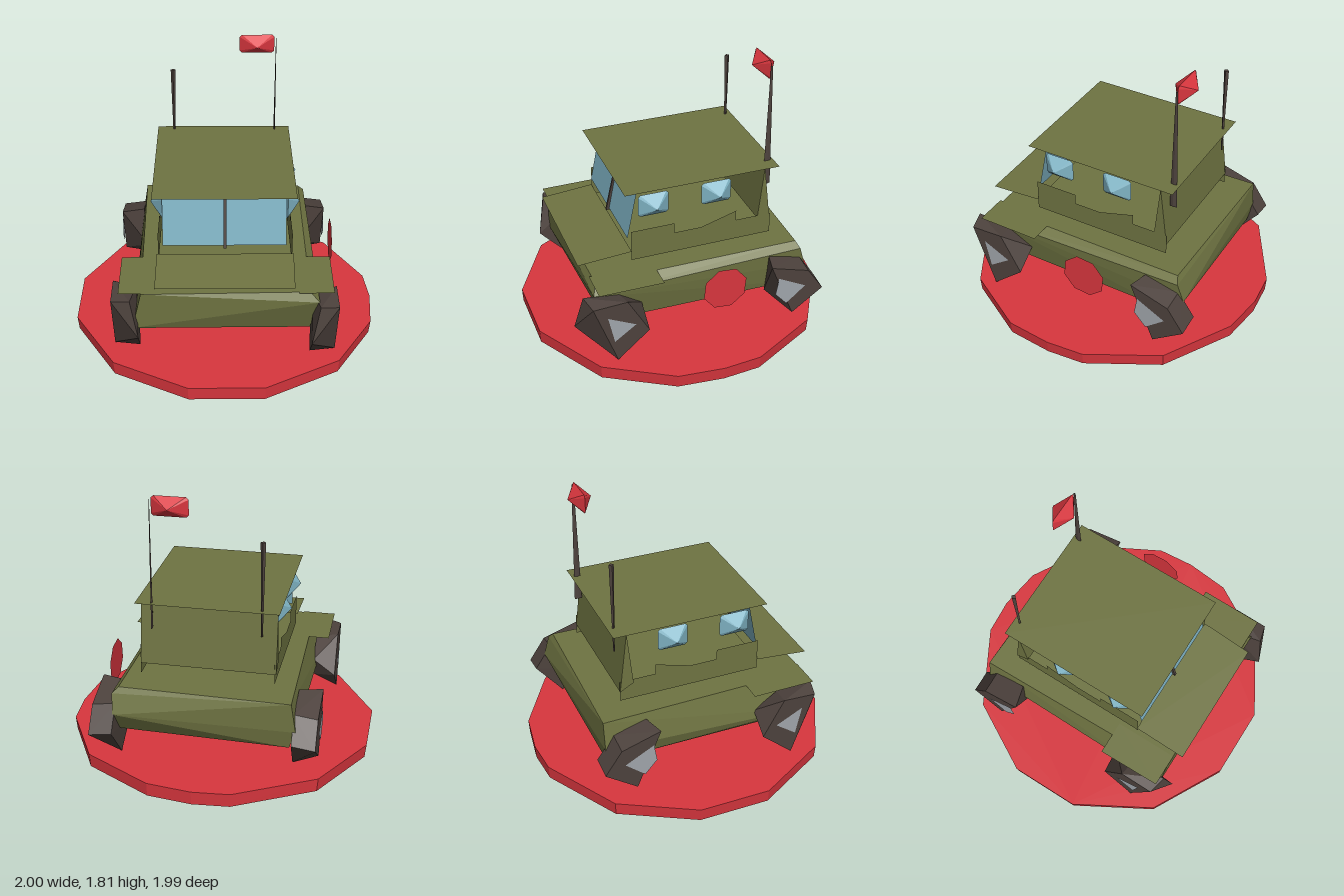
import * as THREE from 'three';
import { ConvexGeometry } from 'three/addons/geometries/ConvexGeometry.js';

const mat = (name, color, both) => {
  const m = new THREE.MeshStandardMaterial({ color, flatShading: true });
  m.name = name;
  if (both) m.side = THREE.DoubleSide;
  return m;
};

export function createModel() {
  const group = new THREE.Group();
  const red = mat('red', 0xd9363e, true);
  const olive = mat('olive', 0x6f7442, true);
  const glass = mat('glass blue', 0x7fb3c4, true);
  const dark = mat('dark brown', 0x4d423d, true);
  const steel = mat('steel grey', 0xa0a5ab, true);

  const add = (name, geo, material) => {
    const m = new THREE.Mesh(geo, material);
    m.name = name;
    group.add(m);
    return m;
  };
  const hull = (name, pts, material) =>
    add(name, new ConvexGeometry(pts.map(p => new THREE.Vector3(...p))), material);
  // Thin flat sheet from a loop of corners
  const sheet = (name, pts, material) => {
    const g = new THREE.BufferGeometry();
    const pos = [];
    for (let i = 1; i < pts.length - 1; i++) pos.push(...pts[0], ...pts[i], ...pts[i + 1]);
    g.setAttribute('position', new THREE.Float32BufferAttribute(pos, 3));
    g.computeVertexNormals();
    return add(name, g, material);
  };
  // Flat outline in (z, y) standing at a given x
  const sidePlate = (name, x, outline, material) => {
    const g = new THREE.ShapeGeometry(new THREE.Shape(outline.map(p => new THREE.Vector2(...p))));
    g.rotateY(-Math.PI / 2);
    g.translate(x, 0, 0);
    return add(name, g, material);
  };
  // Clipped rectangle with a point on both faces, lying in the XY plane
  const lens = (name, w, h, depth, material) => {
    const pts = [[0, 0, depth], [0, 0, -depth]];
    for (const sx of [-1, 1]) for (const sy of [-1, 1]) {
      pts.push([sx * w, sy * (h - 0.015), 0], [sx * (w - 0.015), sy * h, 0]);
    }
    return hull(name, pts, material);
  };

  // Irregular display base
  const rim = [[-0.24, -0.98], [0, -1], [0.29, -0.96], [0.74, -0.7], [0.98, -0.25], [1, 0],
    [0.97, 0.3], [0.72, 0.72], [0.24, 0.99], [-0.24, 0.99], [-0.72, 0.73], [-1, 0.24],
    [-1, -0.23], [-0.74, -0.7]];
  hull('base', rim.flatMap(([x, z]) => [[x, 0.09, z], [x * 0.99, 0, z * 0.995]]), red);

  // Faceted lower body
  hull('body', [
    [-0.56, 0.59, -0.7], [0.53, 0.59, -0.68], [0.52, 0.59, 0.68], [-0.53, 0.59, 0.7],
    [0.58, 0.53, 0.71], [0.57, 0.55, -0.7], [-0.59, 0.33, 0.69], [0.53, 0.29, 0.63],
    [-0.55, 0.28, 0.6], [0.54, 0.28, -0.65], [-0.55, 0.28, -0.68], [-0.59, 0.4, -0.7],
    [0.56, 0.42, -0.74]], olive);

  // Chunky faceted wheels with flat hub plates
  const front = [[0.7, 0.52, 0.75], [0.7, 0.53, 0.53], [0.7, 0.28, 0.39], [0.7, 0.1, 0.6],
    [0.53, 0.3, 0.83], [0.53, 0.14, 0.68], [0.58, 0.54, 0.78], [0.55, 0.5, 0.55],
    [0.55, 0.39, 0.39], [0.55, 0.25, 0.45]];
  const rear = [[0.7, 0.54, -0.44], [0.7, 0.46, -0.7], [0.7, 0.3, -0.81], [0.7, 0.15, -0.6],
    [0.55, 0.54, -0.48], [0.55, 0.48, -0.7], [0.55, 0.32, -0.81], [0.54, 0.1, -0.63],
    [0.53, 0.25, -0.47]];
  const frontHub = [[0.66, 0.44], [0.48, 0.35], [0.62, 0.25]];
  const rearHub = [[-0.49, 0.45], [-0.47, 0.33], [-0.55, 0.24], [-0.68, 0.35]];
  for (const [name, pts, hub, dz] of [['front', front, frontHub, -0.06], ['rear', rear, rearHub, 0.06]]) {
    hull(name + 'WheelLeft', pts, dark);
    sidePlate(name + 'HubLeft', 0.705, hub, steel);
    hull(name + 'WheelRight', pts.map(([x, y, z]) => [-x - 0.02, y + 0.01, z + dz]), dark);
    sidePlate(name + 'HubRight', -0.725, hub.map(([z, y]) => [z + dz, y + 0.01]), steel);
  }

  // Side marker disc, on one side only
  const disc = add('sideDisc', new THREE.CircleGeometry(0.15, 8), red);
  disc.rotation.set(0, Math.PI / 2, 0.3, 'YXZ');
  disc.position.set(0.715, 0.48, -0.11);

  // Fender sheets, hood and roof
  for (const s of [-1, 1]) {
    sheet('fender', [[s * 0.45, 0.594, 0.28], [s * 0.675, 0.594, 0.28],
      [s * 0.67, 0.594, 0.7], [s * 0.45, 0.594, 0.7]], olive);
  }
  sheet('hood', [[-0.44, 0.7, 0.41], [-0.44, 0.67, 0.76], [0.42, 0.67, 0.76], [0.43, 0.7, 0.41]], olive);
  sheet('roof', [[-0.46, 1.12, -0.58], [-0.46, 1.12, 0.45], [0.44, 1.12, 0.45], [0.44, 1.12, -0.58]], olive);

  // Cabin side panels with stepped top edge
  const profile = [[0.41, 0.63], [0.41, 0.84], [0.12, 0.84], [0.12, 0.77], [-0.06, 0.77],
    [-0.3, 0.84], [-0.3, 0.77], [-0.54, 0.77], [-0.54, 0.63]];
  sidePlate('cabinSideLeft', 0.42, profile, olive);
  sidePlate('cabinSideRight', -0.43, profile, olive);

  // Rear cabin wall, a narrow wedge
  hull('rearWall', [-0.44, 0.42].flatMap(x =>
    [[x, 1.12, -0.49], [x, 0.75, -0.45], [x, 0.7, -0.54]]), olive);

  // Leaning windscreen panes and centre post
  for (const [a, b] of [[-0.4, -0.015], [0, 0.38]]) {
    sheet('windscreen', [[a, 0.77, 0.42], [b, 0.77, 0.42], [b, 1.12, 0.35], [a, 1.12, 0.35]], glass);
  }
  hull('windscreenPost', [-0.016, 0.002].flatMap(x =>
    [[x, 0.76, 0.44], [x, 0.76, 0.41], [x, 1.115, 0.36], [x, 1.115, 0.345]]), dark);

  // Faceted side windows
  for (const x of [0.39, -0.4]) for (const z of [0.25, -0.17]) {
    const w = lens('sideWindow', 0.1, 0.077, 0.078, glass);
    w.rotation.y = Math.PI / 2;
    w.position.set(x, 0.995, z);
  }

  // Flag pole, flag and whip antenna
  const pole = add('flagPole', new THREE.CylinderGeometry(0.007, 0.025, 0.83, 4), dark);
  pole.scale.x = 0.25;
  pole.position.set(0.34, 1.365, -0.54);
  const flag = lens('flag', 0.115, 0.063, 0.076, red);
  flag.position.set(0.213, 1.744, -0.54);
  const whip = add('antenna', new THREE.CylinderGeometry(0.016, 0.005, 0.61, 4), dark);
  whip.position.set(-0.348, 1.255, -0.54);

  return group;
}
